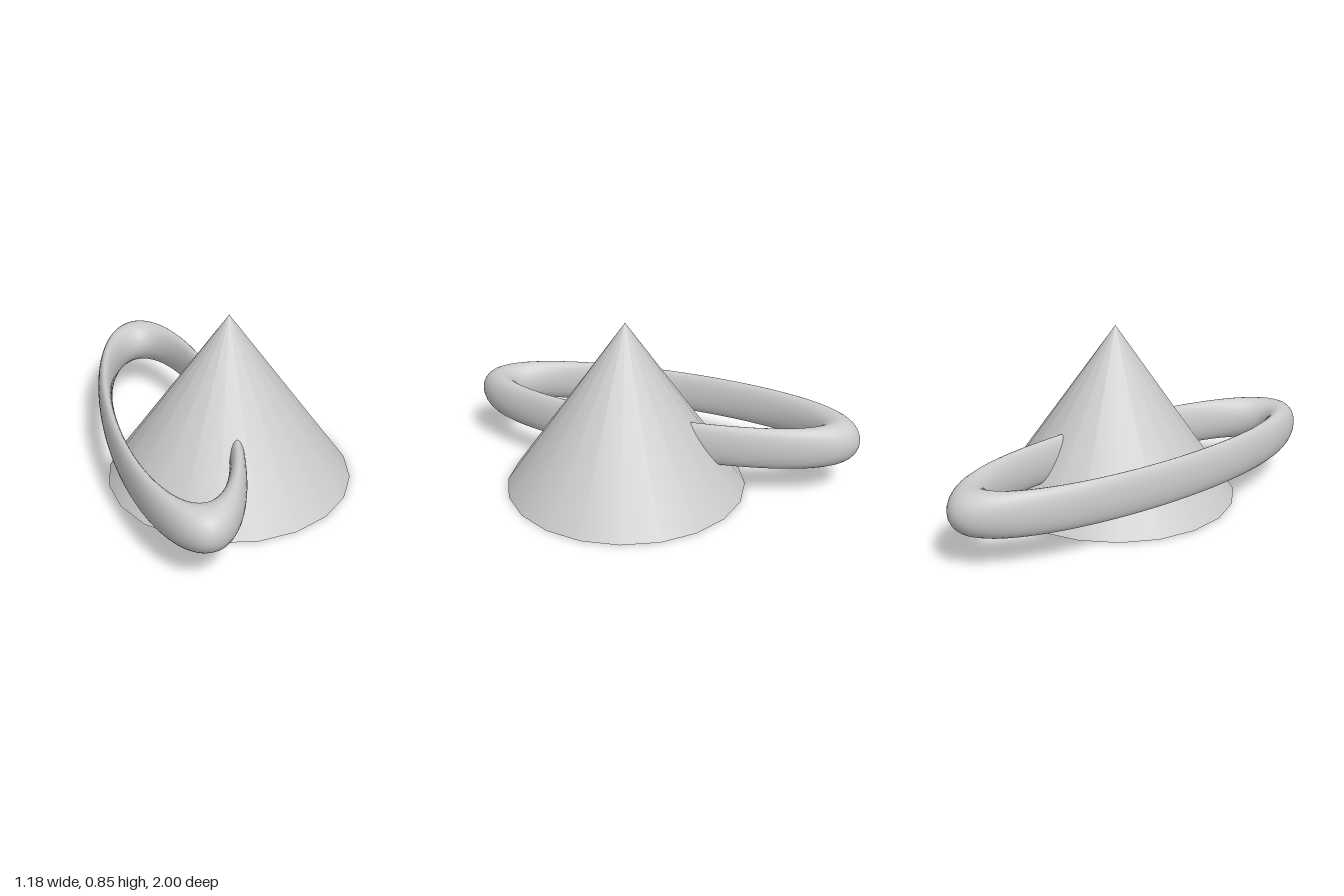
import * as THREE from 'three';

export function createModel() {
  const group = new THREE.Group();
  const material = new THREE.MeshStandardMaterial({ color: 0xcccccc });

  const add = (name, geometry, x, y, z) => {
    const mesh = new THREE.Mesh(geometry, material);
    mesh.name = name;
    mesh.position.set(x, y, z);
    group.add(mesh);
  };

  // Smooth-sided cone with a flat base
  const height = 0.845;
  add('cone', new THREE.ConeGeometry(0.59, height, 20, 1), 0, height / 2, 0.093);

  // Horizontal ring squeezed sideways into a long ellipse, passing through the cone
  const ring = new THREE.TorusGeometry(0.895, 0.105, 24, 96);
  ring.rotateX(Math.PI / 2);
  ring.scale(0.308, 1, 1);
  add('ring', ring, -0.282, 0.27, 0);

  return group;
}
